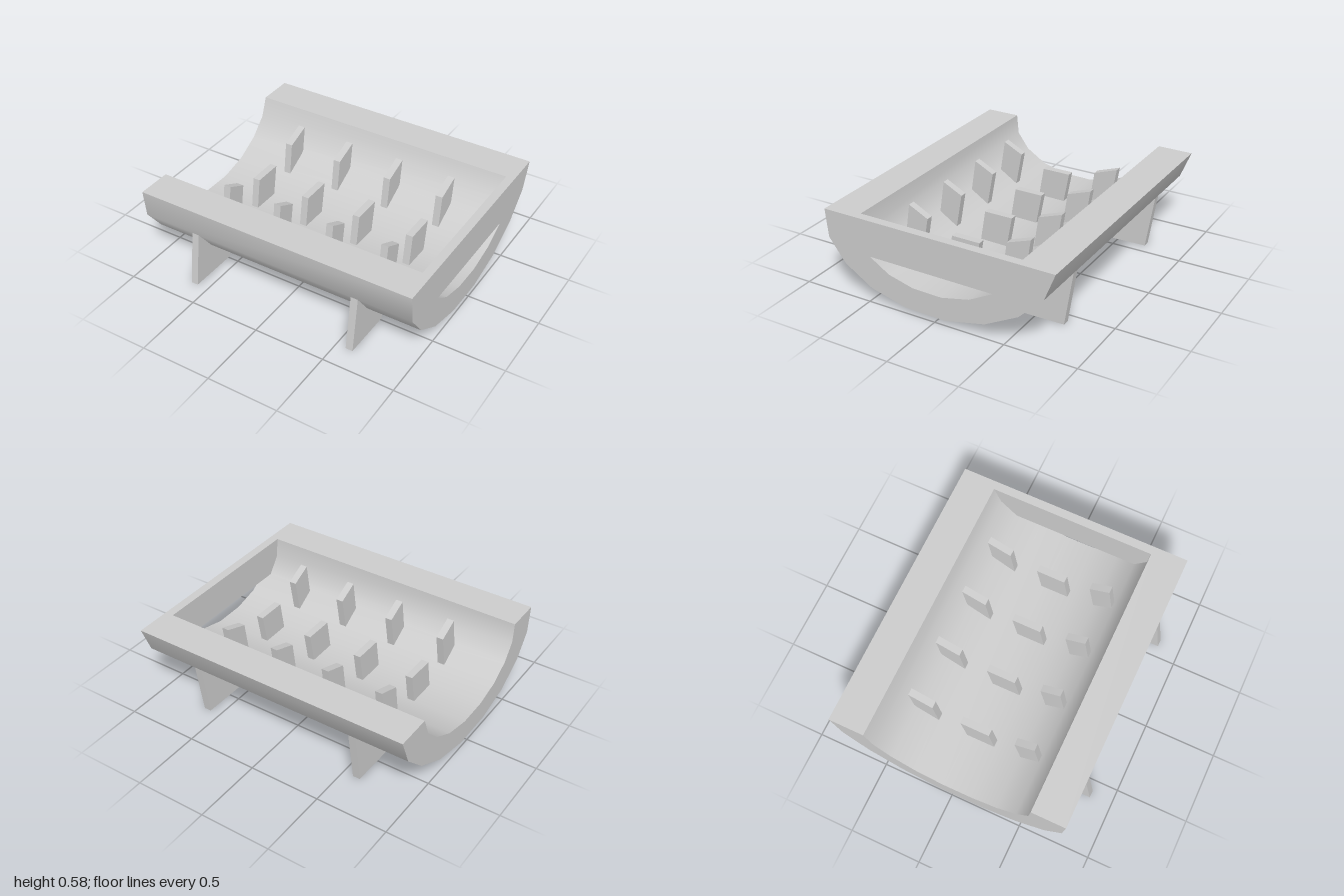
import * as THREE from 'three';
import { toCreasedNormals } from 'three/addons/utils/BufferGeometryUtils.js';

const material = new THREE.MeshStandardMaterial({ color: 0xcccccc });

// Extrudes a [z, y] outline along x, centred on the given x.
function slab(name, outline, width, x) {
  const shape = new THREE.Shape(outline.map(([z, y]) => new THREE.Vector2(z, y)));
  const geometry = new THREE.ExtrudeGeometry(shape, { depth: width, bevelEnabled: false });
  geometry.translate(0, 0, -width / 2).rotateY(-Math.PI / 2).translate(x, 0, 0);
  const mesh = new THREE.Mesh(toCreasedNormals(geometry, 0.7), material);
  mesh.name = name;
  return mesh;
}

export function createModel() {
  const model = new THREE.Group();
  model.name = 'trough';

  // Half-round shell: the inner curve is the outer one scaled about the rim centre
  const rim = 0.583;
  const outer = [
    [0.815, 0.585], [0.795, 0.39], [0.675, 0.23], [0.475, 0.105], [0.22, 0.04],
    [-0.08, 0.035], [-0.365, 0.1], [-0.6, 0.225], [-0.77, 0.39], [-0.845, 0.58],
  ];
  const inner = outer.map(([z, y]) => [z * 0.705, rim + (y - rim) * 0.71]);
  model.add(slab('shell', [...outer, ...inner.slice().reverse()], 2, 0));

  // Wall closing one end, leaving a slot above the floor
  model.add(slab('endWall', [...inner.slice(0, 3), ...inner.slice(7)], 0.06, 0.97));

  // Three rows of leaning fins, rooted in the shell
  const fins = {
    backFin: [[-0.26, 0.19], [-0.3, 0.47], [-0.47, 0.53], [-0.42, 0.2]],
    middleFin: [[0.147, 0.15], [0.105, 0.41], [-0.1, 0.41], [-0.053, 0.15]],
    frontFin: [[0.48, 0.22], [0.43, 0.55], [0.29, 0.48], [0.342, 0.19]],
  };
  for (const [name, outline] of Object.entries(fins)) {
    for (const x of [-0.6, -0.2, 0.2, 0.6]) model.add(slab(name, outline, 0.05, x));
  }

  // Leaning legs, rooted in the shell
  const frontLeg = [[0.85, 0.01], [0.793, 0.395], [0.65, 0.3], [0.47, 0.15], [0.49, 0.005]];
  const backLeg = [[-0.345, 0], [-0.365, 0.15], [-0.6, 0.3], [-0.769, 0.395], [-0.71, 0.005]];
  for (const x of [-0.6, 0.6]) {
    model.add(slab('frontLeg', frontLeg, 0.05, x));
    model.add(slab('backLeg', backLeg, 0.05, x));
  }
  return model;
}
